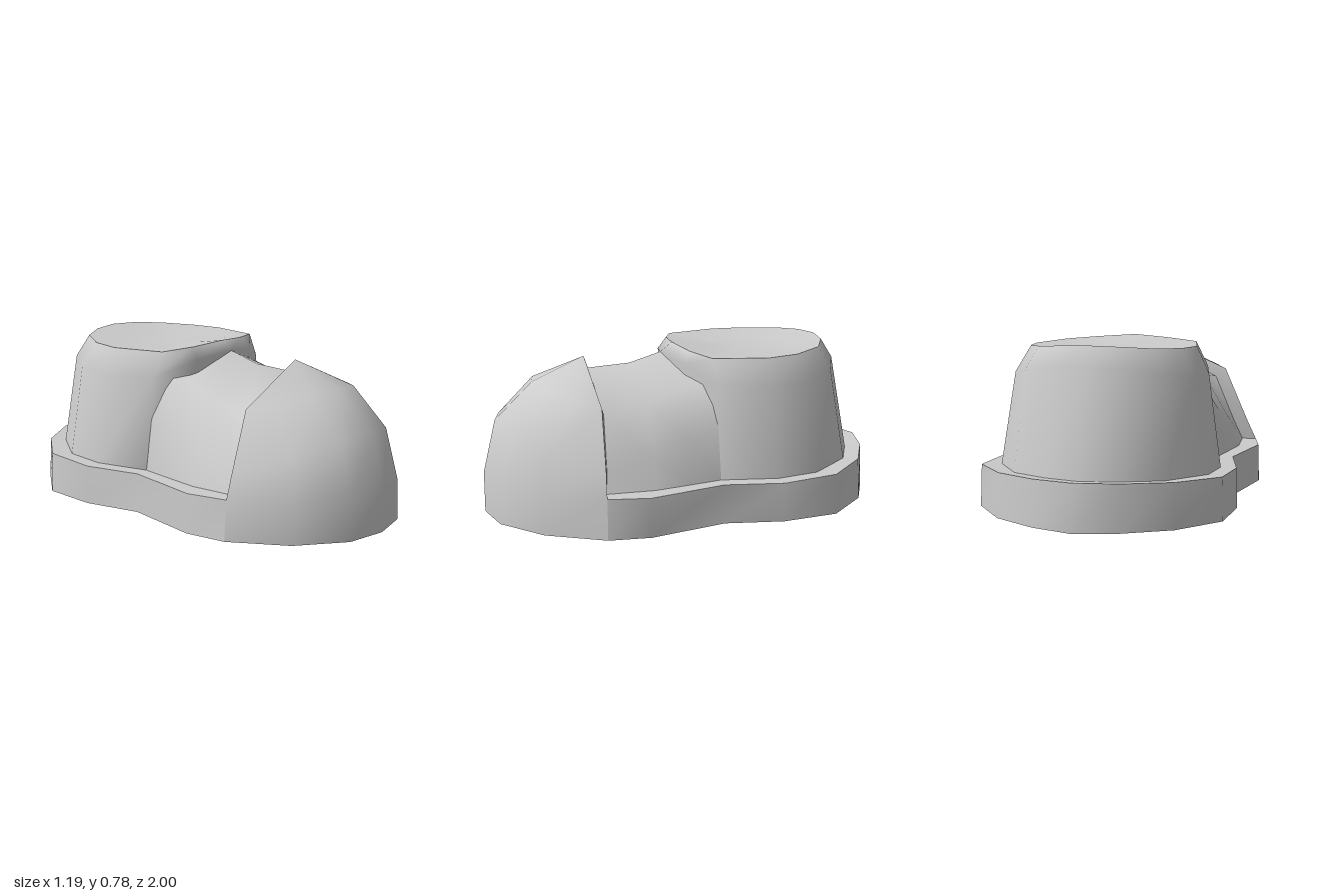
import * as THREE from 'three';
import { mergeVertices } from 'three/addons/utils/BufferGeometryUtils.js';

const material = new THREE.MeshStandardMaterial({ color: 0xcccccc, side: THREE.DoubleSide });

// Completes a half row that ends on the centre line x = 0 with its mirror image
const mirror = (half) => [...half, ...half.slice(0, -1).reverse().map(([x, y, z]) => [-x, y, z])];
const flipX = (row) => row.map(([x, y, z]) => [-x, y, z]);

// Smooth skin through rows of equal length
function loft(name, rows) {
  const n = rows[0].length, index = [];
  for (let r = 0; r < rows.length - 1; r++) {
    for (let i = 0; i < n - 1; i++) {
      const a = r * n + i, b = a + 1, c = a + n, d = c + 1;
      index.push(a, c, b, b, c, d);
    }
  }
  let geometry = new THREE.BufferGeometry();
  geometry.setAttribute('position', new THREE.Float32BufferAttribute(rows.flat(2), 3));
  geometry.setIndex(index);
  geometry = mergeVertices(geometry, 1e-4);
  geometry.computeVertexNormals();
  const mesh = new THREE.Mesh(geometry, material);
  mesh.name = name;
  return mesh;
}

export function createModel() {
  const model = new THREE.Group();
  model.name = 'shoe';

  // Half outlines from beside the toe cap round to the heel
  const soleBase = [[0.565, 0, 0.53], [0.595, 0, 0.33], [0.53, 0, -0.05], [0.595, 0, -0.33],
    [0.58, 0, -0.61], [0.41, 0, -0.82], [0.2, 0, -0.94], [0, 0, -1]];
  const soleTop = [[0.545, 0.19, 0.525], [0.59, 0.19, 0.33], [0.522, 0.19, -0.05], [0.59, 0.19, -0.33],
    [0.574, 0.2, -0.605], [0.405, 0.207, -0.81], [0.197, 0.213, -0.93], [0, 0.217, -0.985]];
  const soleInner = [[0.475, 0.19, 0.51], [0.495, 0.19, 0.28], [0.45, 0.19, -0.06], [0.515, 0.19, -0.33],
    [0.5, 0.195, -0.54], [0.35, 0.2, -0.755], [0.17, 0.205, -0.855], [0, 0.207, -0.9]];
  const around = (half) => mirror(flipX(half));
  model.add(loft('soleWall', [around(soleBase), around(soleTop)]));
  model.add(loft('soleLedge', [around(soleTop), around(soleInner)]));

  // Toe cap: rings rising from the ground to the peak
  const toeBase = [[0.565, 0, 0.53], [0.41, 0, 0.79], [0.2, 0, 0.96], [0, 0, 1]];
  const toeEdge = [[0.545, 0.19, 0.525], [0.495, 0.3, 0.515], [0.38, 0.57, 0.5], [0, 0.74, 0.49]];
  const peak = toeEdge[3];
  model.add(loft('toeCap', [
    toeBase,
    [toeEdge[0], [0.405, 0.195, 0.785], [0.2, 0.2, 0.95], [0, 0.2, 0.998]],
    [toeEdge[1], [0.36, 0.38, 0.74], [0.18, 0.44, 0.89], [0, 0.455, 0.935]],
    [toeEdge[2], [0.3, 0.59, 0.6], [0.16, 0.62, 0.715], [0, 0.63, 0.75]],
    [peak, peak, peak, peak],
  ].map(mirror)));

  // Back edge of the toe cap, stepping down to the vamp
  const vampFront = [[0.475, 0.19, 0.51], [0.43, 0.29, 0.495], [0.33, 0.53, 0.48], [0, 0.68, 0.47]];
  model.add(loft('toeCapRim', [mirror(toeEdge), mirror(vampFront)]));

  // Vamp: arches running from the toe cap back into the ankle
  model.add(loft('vamp', [
    vampFront,
    [[0.495, 0.19, 0.28], [0.445, 0.33, 0.27], [0.31, 0.56, 0.26], [0, 0.69, 0.26]],
    [[0.472, 0.19, 0.1], [0.42, 0.4, 0.1], [0.29, 0.61, 0.1], [0, 0.735, 0.1]],
    [[0.45, 0.19, -0.06], [0.41, 0.45, -0.07], [0.32, 0.64, -0.07], [0, 0.72, -0.05]],
  ].map(mirror)));

  // Ankle: rings from the ledge up to the collar, listed heel to front
  const collar = mirror([[0, 0.78, -0.735], [0.14, 0.775, -0.71], [0.27, 0.765, -0.635], [0.365, 0.757, -0.48],
    [0.395, 0.755, -0.32], [0.335, 0.757, -0.055], [0.185, 0.768, 0.01], [0, 0.78, 0.04]]);
  model.add(loft('ankle', [
    mirror([...soleInner.slice(2).reverse(), [0.25, 0.19, 0], [0, 0.19, 0.05]]),
    mirror([[0, 0.69, -0.785], [0.165, 0.685, -0.76], [0.32, 0.66, -0.68], [0.43, 0.635, -0.52],
      [0.455, 0.63, -0.33], [0.395, 0.64, -0.06], [0.2, 0.71, 0.05], [0, 0.735, 0.1]]),
    collar,
  ]));

  // Shallow dished top inside the collar
  const inset = (s, y) => collar.map(([x, h, z]) => [x * s, y + (h - 0.755) * s * s, -0.35 + (z + 0.35) * s]);
  model.add(loft('collarFill', [collar, inset(0.55, 0.742), inset(0, 0.735)]));

  // Flat underside
  const ground = mirror([...soleBase.slice().reverse(), ...toeBase.slice(1)]);
  model.add(loft('soleBottom', [ground.map(() => [0, 0, 0]), ground]));

  return model;
}
